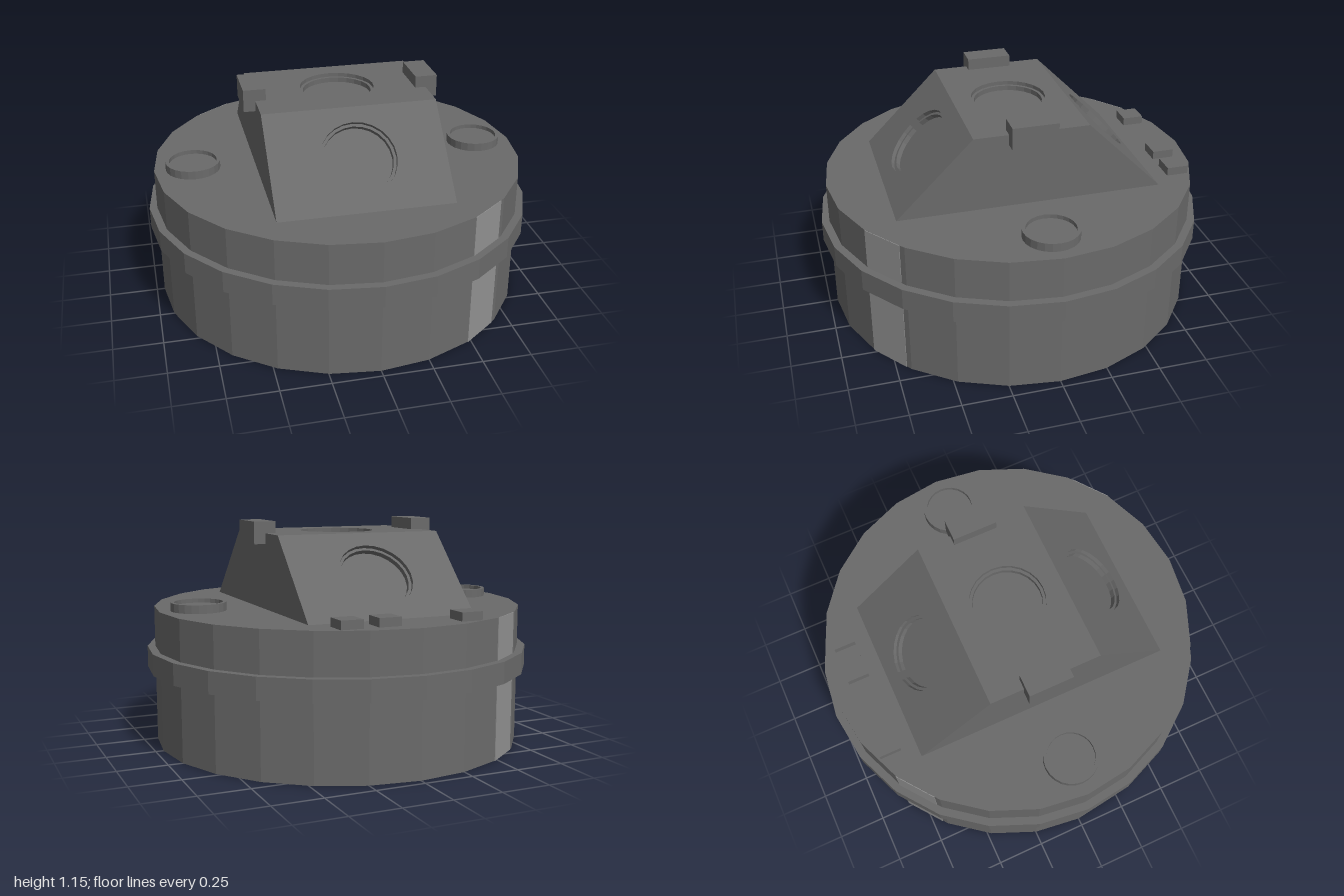
import * as THREE from 'three';

const SIDES = 24;

export function createModel() {
  const model = new THREE.Group();
  const grey = new THREE.MeshStandardMaterial({ color: 0x6a6a6a, flatShading: true, side: THREE.DoubleSide });
  grey.name = 'dark grey';
  const light = new THREE.MeshStandardMaterial({ color: 0x929292, flatShading: true });
  light.name = 'light grey';

  const add = (name, geometry, x = 0, y = 0, z = 0, parent = model, material = grey) => {
    const mesh = new THREE.Mesh(geometry, material);
    mesh.name = name;
    mesh.position.set(x, y, z);
    parent.add(mesh);
    return mesh;
  };
  const lathe = (points, segments = SIDES) =>
    new THREE.LatheGeometry(points.map(([r, y]) => new THREE.Vector2(r, y)), segments);
  const rectangle = (w, h) => [[-w, -h], [w, -h], [w, h], [-w, h]].map(([x, y]) => new THREE.Vector2(x / 2, y / 2));

  // Drum wall, open underneath, and its raised belt
  const R = 0.96, H = 0.71;
  add('drumWall', lathe([[R, 0], [R, H]]));
  add('belt', lathe([[R, 0.39], [1, 0.39], [1, 0.5], [R, 0.5]]));

  // Flat lid with an opening below the hollow housing
  const rim = Array.from({ length: SIDES }, (_, i) => {
    const a = (i / SIDES) * Math.PI * 2;
    return new THREE.Vector2(Math.cos(a) * R, Math.sin(a) * R);
  });
  const lidShape = new THREE.Shape(rim);
  lidShape.holes.push(new THREE.Path(rectangle(0.88, 1.35).reverse()));
  add('lid', new THREE.ShapeGeometry(lidShape), 0, H, 0).rotation.x = -Math.PI / 2;

  // Light panels on two opposite facets of the drum
  for (const turn of [0, Math.PI]) {
    const facet = new THREE.Group();
    facet.name = 'facetPanel';
    facet.rotation.y = THREE.MathUtils.degToRad(37.5) + turn;
    add('lightPanel', new THREE.BoxGeometry(0.22, H, 0.003), -0.015, H / 2, 0.9535, facet, light);
    model.add(facet);
  }

  // Housing: three panels, each with a stepped round recess
  const housing = new THREE.Group();
  housing.name = 'housing';
  model.add(housing);
  const recess = lathe([[0, -0.045], [0.175, -0.045], [0.175, -0.02], [0.19, -0.02], [0.19, 0]]);
  const panel = (name, length, y, z, tilt) => {
    const group = new THREE.Group();
    group.name = name;
    group.position.set(0, y, z);
    group.rotation.x = tilt;
    const shape = new THREE.Shape(rectangle(0.88, length));
    const hole = Array.from({ length: SIDES }, (_, i) => {
      const a = (-i / SIDES) * Math.PI * 2;
      return new THREE.Vector2(Math.cos(a) * 0.19, Math.sin(a) * 0.19);
    });
    shape.holes.push(new THREE.Path(hole));
    add('plate', new THREE.ShapeGeometry(shape), 0, 0, 0, group);
    add('recess', recess, 0, 0, 0, group).rotation.x = Math.PI / 2;
    housing.add(group);
  };
  panel('topPanel', 0.58, 1.095, 0, -Math.PI / 2);
  panel('frontSlope', 0.5445, 0.9025, 0.4825, -Math.PI / 4);
  panel('backSlope', 0.5445, 0.9025, -0.4825, -Math.PI * 3 / 4);

  // Left and right parts: housing sides, clamps and round caps
  const trapezoid = new THREE.Shape([[-0.675, H], [0.675, H], [0.29, 1.095], [-0.29, 1.095]]
    .map(([x, y]) => new THREE.Vector2(x, y)));
  const cap = lathe([[0.14, 0], [0.14, 0.043], [0.122, 0.043], [0.122, 0.022], [0, 0.022]]);
  for (const [side, s] of [['left', 1], ['right', -1]]) {
    add(side + 'HousingSide', new THREE.ShapeGeometry(trapezoid), 0.44 * s, 0, 0, housing).rotation.y = s * Math.PI / 2;
    add(side + 'Clamp', new THREE.BoxGeometry(0.113, 0.113, 0.23), 0.443 * s, 1.098, 0);
    add(side + 'Cap', cap, 0.76 * s, H, 0);
  }

  // Small blocks along the back of the lid
  for (const x of [-0.313, 0.117, 0.308]) {
    add('backBlock', new THREE.BoxGeometry(0.112, 0.043, 0.112), x, H + 0.0215, -0.812);
  }
  return model;
}
